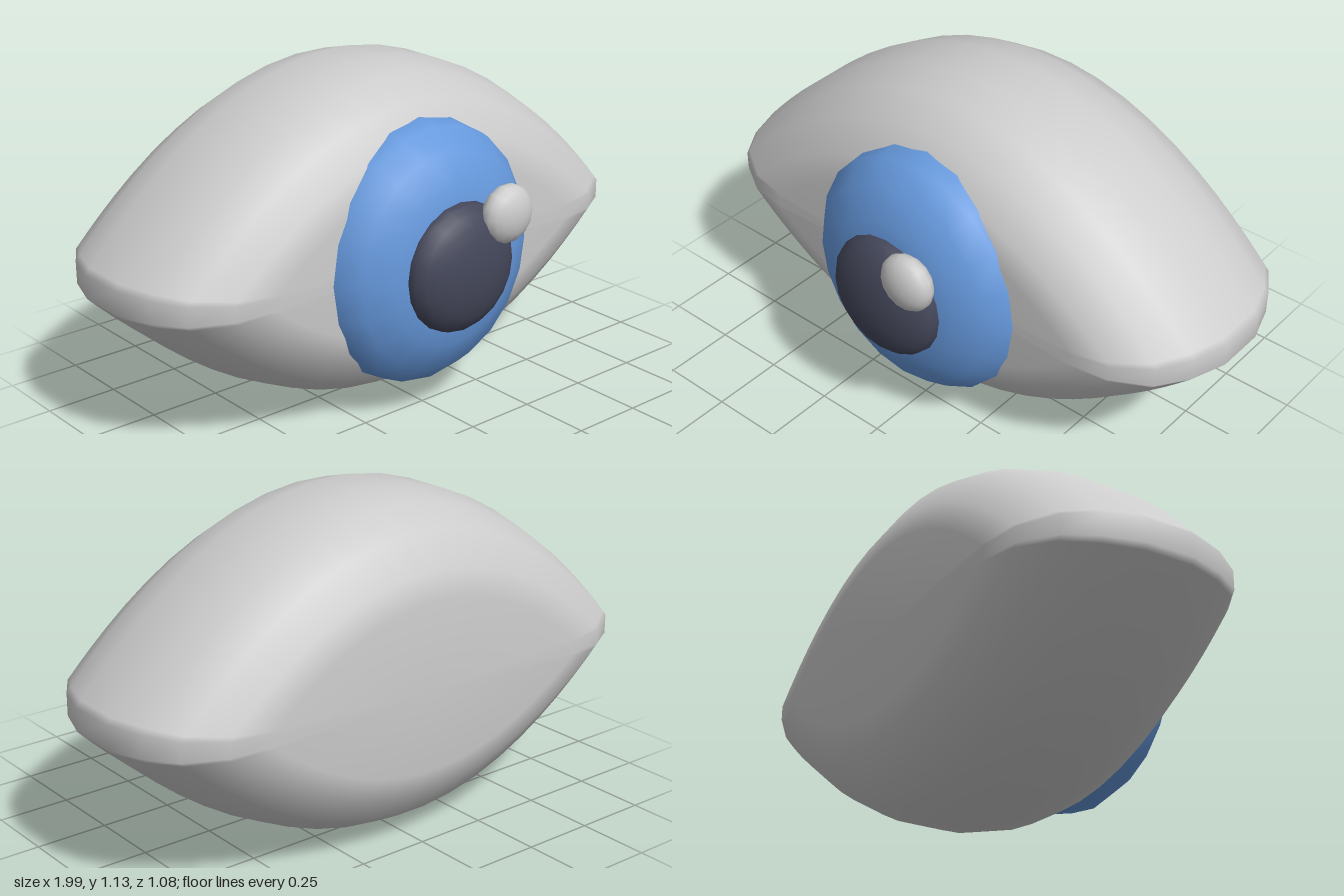
import * as THREE from 'three';

const MID_Y = 0.545;
const grey = new THREE.MeshStandardMaterial({ color: 0xcccccc });
const blue = new THREE.MeshStandardMaterial({ color: 0x6699dd });
const dark = new THREE.MeshStandardMaterial({ color: 0x44475a });

// Almond-shaped solid: one outline repeated in rings that shrink toward both faces
function almondGeometry() {
  const n = 48, midZ = -0.125;
  // [distance from middle plane, x scale, y scale]
  const half = [
    [0.415, 0, 0], [0.415, 0.63, 0.5], [0.39, 0.77, 0.65], [0.315, 0.89, 0.83],
    [0.21, 0.955, 0.94], [0.085, 0.995, 0.995],
  ];
  const rings = [...half, ...half.map(([d, sx, sy]) => [-d, sx, sy]).reverse()];
  const pos = [], idx = [];
  const xMax = Math.cos(Math.PI / n);
  for (const [d, sx, sy] of rings) {
    for (let i = 0; i < n; i++) {
      const a = ((i + 0.5) / n) * Math.PI * 2;
      const x = Math.cos(a) / xMax;
      const rise = 1 - x * x;
      const y = Math.sin(a) > 0 ? 0.04 + 0.557 * rise : -0.04 - 0.507 * rise;
      pos.push(x * sx * 1.002, y * sy, midZ + d);
    }
  }
  for (let r = 0; r < rings.length - 1; r++) {
    for (let i = 0; i < n; i++) {
      const j = (i + 1) % n;
      const a = r * n + i, b = (r + 1) * n + i, c = (r + 1) * n + j, e = r * n + j;
      if (r < rings.length - 2) idx.push(a, b, c);
      if (r > 0) idx.push(a, c, e);
      // Caps collapse to a point, so only one triangle per step is needed there
    }
  }
  const g = new THREE.BufferGeometry();
  g.setAttribute('position', new THREE.Float32BufferAttribute(pos, 3));
  g.setIndex(idx);
  g.computeVertexNormals();
  return g;
}

// Flattened disc with rounded rim, facing +z
function irisGeometry() {
  const front = [[0.455, 0], [0.437, 0.08], [0.375, 0.15], [0.275, 0.2], [0.18, 0.217], [0, 0.22]];
  const back = front.slice(1).reverse().map(([r, z]) => [r, -z]);
  const profile = [...back, ...front].map(([r, z]) => new THREE.Vector2(r, z));
  return new THREE.LatheGeometry(profile, 20).rotateX(Math.PI / 2).scale(0.945, 1, 1);
}

// Ellipsoid whose pole faces +z
function ellipsoid(rx, ry, rz, sides, rows) {
  return new THREE.SphereGeometry(1, sides, rows).rotateX(Math.PI / 2).scale(rx, ry, rz);
}

export function createModel() {
  const group = new THREE.Group();
  const add = (name, geometry, material, x, y, z) => {
    const mesh = new THREE.Mesh(geometry, material);
    mesh.name = name;
    mesh.position.set(x, y, z);
    group.add(mesh);
  };
  add('eyeball', almondGeometry(), grey, 0, MID_Y, 0);
  add('iris', irisGeometry(), blue, 0, MID_Y, 0.21);
  add('pupil', ellipsoid(0.217, 0.22, 0.1, 20, 12), dark, 0, MID_Y, 0.42);
  add('highlight', ellipsoid(0.1, 0.1, 0.058, 14, 10), grey, 0.145, 0.71, 0.483);
  return group;
}
